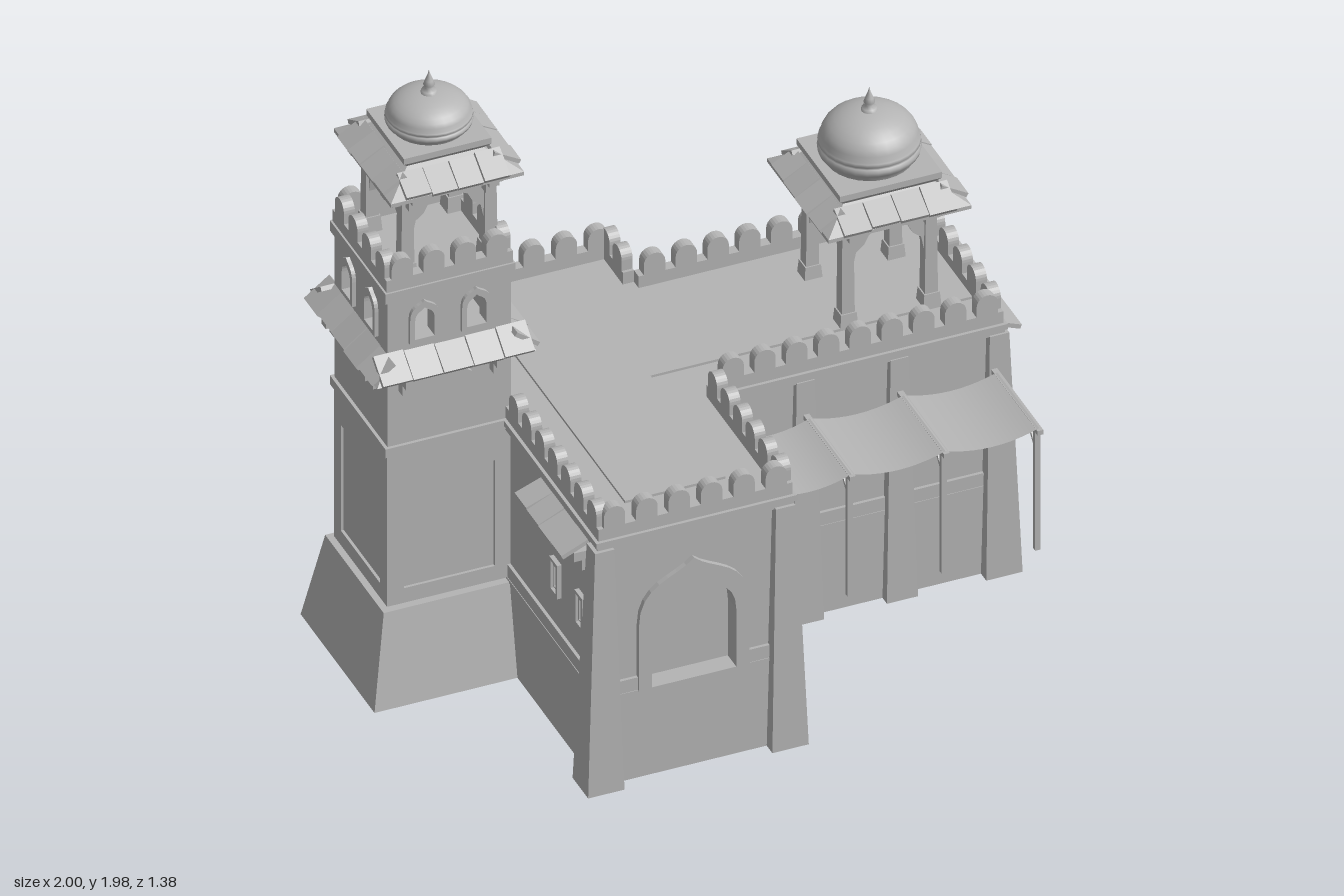
import * as THREE from 'three';

const stone = new THREE.MeshStandardMaterial({ color: 0xb4b4b4, side: THREE.DoubleSide });
stone.name = 'stone';

function add(parent, name, geo, x = 0, y = 0, z = 0) {
  const m = new THREE.Mesh(geo, stone);
  m.name = name;
  m.position.set(x, y, z);
  parent.add(m);
  return m;
}
function group(parent, name, x = 0, y = 0, z = 0, turn = 0) {
  const g = new THREE.Group();
  g.name = name;
  g.position.set(x, y, z);
  g.rotation.y = turn;
  parent.add(g);
  return g;
}
const box = (p, name, x0, x1, y0, y1, z0, z1) => add(p, name,
  new THREE.BoxGeometry(x1 - x0, y1 - y0, z1 - z0), (x0 + x1) / 2, (y0 + y1) / 2, (z0 + z1) / 2);

// Tapered block between two rectangles [x0, x1, z0, z1]; open leaves out the underside
function frustum(p, name, lo, y0, hi, y1, open = false) {
  const g = new THREE.BoxGeometry(1, 1, 1), a = g.attributes.position;
  for (let i = 0; i < a.count; i++) {
    const r = a.getY(i) < 0 ? lo : hi;
    a.setXYZ(i, a.getX(i) < 0 ? r[0] : r[1], a.getY(i) < 0 ? y0 : y1, a.getZ(i) < 0 ? r[2] : r[3]);
  }
  if (open) {
    const idx = [...g.index.array];
    idx.splice(18, 6);
    g.setIndex(idx);
    g.clearGroups();
  }
  g.computeVertexNormals();
  return add(p, name, g);
}
const square = (h, cx = 0, cz = 0) => [cx - h, cx + h, cz - h, cz + h];

// Outlines
function trace(path, pts) {
  pts.forEach(([x, y], i) => (i ? path.lineTo(x, y) : path.moveTo(x, y)));
  path.closePath();
  return path;
}
const rect = (path, x0, x1, y0, y1) => trace(path, [[x0, y0], [x1, y0], [x1, y1], [x0, y1]]);
function ogee(path, cx, w, y0, spring, top) {
  const d = top - spring;
  path.moveTo(cx - w, y0);
  path.lineTo(cx + w, y0);
  path.lineTo(cx + w, spring);
  path.bezierCurveTo(cx + w, spring + d * 0.75, cx + w * 0.35, spring + d * 0.7, cx, top);
  path.bezierCurveTo(cx - w * 0.35, spring + d * 0.7, cx - w, spring + d * 0.75, cx - w, spring);
  path.closePath();
  return path;
}
function panel(p, name, shape, holes, z, depth) {
  shape.holes.push(...holes);
  return add(p, name, new THREE.ExtrudeGeometry(shape, { depth, bevelEnabled: false, curveSegments: 8 }), 0, 0, z);
}
const windowHole = (cx, y) => ogee(new THREE.Path(), cx, 0.03, y, y + 0.06, y + 0.105);
const windowFrame = (p, cx, y, z) => panel(p, 'windowFrame',
  ogee(new THREE.Shape(), cx, 0.045, y - 0.014, y + 0.07, y + 0.128), [windowHole(cx, y)], z, 0.014);
const rectFrame = (p, name, x0, x1, y0, y1, t, z, d) => panel(p, name,
  rect(new THREE.Shape(), x0, x1, y0, y1), [rect(new THREE.Path(), x0 + t, x1 - t, y0 + t, y1 - t)], z, d);

// Footprint of hall and wing as x, z, with an outward offset
const corners = [[-0.55, 0.64], [0.02, 0.64], [0.02, 0.1], [0.9, 0.1], [0.9, -0.47], [0.02, -0.47], [0.02, -0.64], [-0.55, -0.64]];
const outline = d => corners.map(([x, z], i) => [x + (i > 0 && i < 7 ? d : -d), z + (i < 4 ? d : -d)]);
function slab(p, name, d, y0, y1) {
  const s = trace(new THREE.Shape(), outline(d).map(([x, z]) => [x, -z]));
  const g = new THREE.ExtrudeGeometry(s, { depth: y1 - y0, bevelEnabled: false });
  add(p, name, g.rotateX(-Math.PI / 2), 0, y0, 0);
}
// Calls back with a group at each wall's middle, its z axis facing outward
function eachWall(p, name, pts, fn) {
  pts.forEach(([x, z], i) => {
    const [u, v] = pts[(i + 1) % pts.length];
    fn(group(p, name, (x + u) / 2, 0, (z + v) / 2, Math.atan2(z - v, u - x)), Math.hypot(u - x, v - z), i);
  });
}

// Battlements with rounded merlons
const merlonShape = new THREE.Shape();
merlonShape.moveTo(-0.033, 0);
merlonShape.lineTo(0.033, 0);
merlonShape.lineTo(0.033, 0.075);
merlonShape.absarc(0, 0.075, 0.033, 0, Math.PI);
merlonShape.closePath();
const merlonGeo = new THREE.ExtrudeGeometry(merlonShape, { depth: 0.034, bevelEnabled: false, curveSegments: 6 });
function battlement(wall, len, y, skip = () => false) {
  const n = Math.round(len / 0.093);
  box(wall, 'parapetCurb', -len / 2, len / 2, y, y + 0.04, -0.034, 0);
  for (let i = 0; i < n; i++) {
    const x = len * ((i + 0.5) / n - 0.5);
    if (!skip(x)) add(wall, 'merlon', merlonGeo, x, y, -0.034);
  }
}

// Sloping stone tiles in a row, slightly uneven
let seed = 7;
const rand = () => (seed = (seed * 16807) % 2147483647) / 2147483647 - 0.5;
function tiles(p, len, n, y, depth, drop) {
  for (let i = 0; i < n; i++) {
    const d = Math.hypot(depth, drop) + rand() * 0.012;
    const t = add(p, 'eaveTile', new THREE.BoxGeometry(len / n - 0.003, 0.014, d),
      len * ((i + 0.5) / n - 0.5), y - drop / 2 + rand() * 0.006, depth / 2);
    t.rotation.x = Math.atan2(drop, depth) + rand() * 0.08;
  }
}
function bracket(p, x, y) {
  box(p, 'bracket', x - 0.016, x + 0.016, y - 0.03, y, 0, 0.055);
  box(p, 'bracket', x - 0.016, x + 0.016, y - 0.065, y - 0.03, 0, 0.03);
}

// Domed roof pavilion
function pavilion(root, name, x, z, y0, e, half, R, h) {
  const g = group(root, name, x, 0, z);
  for (const sx of [-1, 1]) for (const sz of [-1, 1]) {
    const px = sx * 0.128, pz = sz * 0.128;
    frustum(g, 'pillarBase', square(0.028, px, pz), y0, square(0.024, px, pz), y0 + 0.05);
    frustum(g, 'pillar', square(0.02, px, pz), y0 + 0.05, square(0.017, px, pz), e);
  }
  for (let k = 0; k < 4; k++) {
    const s = group(g, 'pavilionSide', 0, 0, 0, k * Math.PI / 2);
    const arch = trace(new THREE.Shape(), [[-0.125, e - 0.17], [-0.11, e - 0.17], [-0.1, e - 0.12], [-0.075, e - 0.1],
      [-0.06, e - 0.07], [-0.03, e - 0.055], [0, e - 0.035], [0.03, e - 0.055], [0.06, e - 0.07], [0.075, e - 0.1],
      [0.1, e - 0.12], [0.11, e - 0.17], [0.125, e - 0.17], [0.125, e + 0.02], [-0.125, e + 0.02]]);
    panel(s, 'cuspedArch', arch, [], 0.118, 0.02);
    for (const bx of [-0.118, 0.118]) {
      const b = group(s, 'eaveBracket', bx, 0, 0.14);
      bracket(b, 0, e + 0.005);
    }
    const t = group(s, 'eave', 0, 0, half - 0.07);
    tiles(t, half * 2 - 0.09, 4, e + 0.055, 0.075, 0.045);
  }
  box(g, 'eaveEdge', -half, half, e - 0.004, e + 0.008, -half, half);
  frustum(g, 'eaveRoof', square(half), e + 0.008, square(R - 0.015), e + 0.065);
  frustum(g, 'domePlinth', square(R - 0.01), e + 0.06, square(R + 0.008), e + 0.08);
  box(g, 'domePlinthTop', -R - 0.008, R + 0.008, e + 0.08, e + 0.1, -R - 0.008, R + 0.008);
  const pts = [[0.86, 0], [0.9, 0.1], [0.98, 0.16], [1, 0.24], [0.97, 0.3], [0.94, 0.32], [0.99, 0.36], [0.98, 0.42]];
  for (let i = 0; i <= 8; i++) {
    const a = i / 8 * Math.PI / 2;
    pts.push([0.95 * Math.cos(a), 0.44 + 0.56 * Math.sin(a)]);
  }
  add(g, 'dome', new THREE.LatheGeometry(pts.map(([r, y]) => new THREE.Vector2(Math.max(r * R, 0), y * h)), 28), 0, e + 0.1, 0);
  const fin = [[0.025, -0.004], [0.022, 0.008], [0.01, 0.014], [0.017, 0.026], [0.012, 0.04], [0.004, 0.06], [0, 0.076]];
  add(g, 'finial', new THREE.LatheGeometry(fin.map(([r, y]) => new THREE.Vector2(r, y)), 12), 0, e + 0.1 + h, 0);
}

export function createModel() {
  const root = new THREE.Group();
  root.name = 'fortPalace';

  // Hall with arched front niche
  const hall = group(root, 'hall');
  box(hall, 'hallBody', -0.55, 0.02, 0.3, 0.83, -0.64, 0.595);
  panel(hall, 'hallFront', rect(new THREE.Shape(), -0.55, 0.02, 0.3, 0.83),
    [ogee(new THREE.Path(), -0.27, 0.13, 0.303, 0.5, 0.645)], 0.595, 0.045);
  panel(hall, 'nicheFrame', ogee(new THREE.Shape(), -0.27, 0.17, 0.3, 0.52, 0.715),
    [ogee(new THREE.Path(), -0.27, 0.13, 0.303, 0.5, 0.645)], 0.64, 0.016);
  const hallBack = group(hall, 'hallBack', -0.265, 0, -0.64, Math.PI);
  windowFrame(hallBack, 0, 0.47, 0);
  const hallSide = group(hall, 'hallDoor', 0.02, 0, 0.28, Math.PI / 2);
  rectFrame(hallSide, 'doorFrame', -0.072, 0.072, 0.295, 0.59, 0.012, 0, 0.014);

  // Wing with windows right through it
  const wing = group(root, 'wing'), bays = [0.15, 0.45, 0.74];
  panel(wing, 'wingBody', rect(new THREE.Shape(), 0.02, 0.9, 0.3, 0.83), bays.map(x => windowHole(x, 0.47)), -0.47, 0.57);
  bays.forEach(x => { windowFrame(wing, x, 0.47, 0.1); windowFrame(wing, x, 0.47, -0.484); });

  // Side walls: small windows under a bracketed eave
  const smallWindow = (p, x) => {
    rectFrame(p, 'smallWindowFrame', x - 0.028, x + 0.028, 0.46, 0.575, 0.01, 0, 0.014);
    rectFrame(p, 'smallWindowInnerFrame', x - 0.014, x + 0.014, 0.478, 0.555, 0.004, 0, 0.008);
  };
  const end = group(root, 'wingEnd', 0.9, 0, -0.185, Math.PI / 2);
  [-0.145, 0.115].forEach(x => smallWindow(end, x));
  [-0.225, -0.095, 0.04, 0.215].forEach(x => bracket(end, x, 0.77));
  tiles(end, 0.49, 5, 0.815, 0.095, 0.04);
  const left = group(root, 'hallLeftSide', -0.55, 0, 0.42, -Math.PI / 2);
  [-0.09, 0.09].forEach(x => smallWindow(left, x));
  [-0.14, 0, 0.14].forEach(x => bracket(left, x, 0.77));
  tiles(left, 0.34, 4, 0.815, 0.095, 0.04);

  // Plinth, mouldings, cornice and roof
  const base = group(root, 'plinth');
  eachWall(base, 'plinthSide', outline(0.01), (w, len) => add(w, 'plinthWall', new THREE.PlaneGeometry(len, 0.3), 0, 0.15, 0));
  slab(base, 'plinthLedge', 0.012, 0.292, 0.302);
  eachWall(base, 'mouldingSide', outline(0), (w, len, i) => {
    const spans = i === 0 ? [[-len / 2, -0.175], [0.165, len / 2]] : [[-len / 2, len / 2]];
    spans.forEach(([a, b]) => box(w, 'moulding', a, b, 0.3, 0.345, 0, 0.01));
  });
  slab(root, 'corniceLower', 0.018, 0.815, 0.832);
  slab(root, 'corniceUpper', 0.024, 0.832, 0.85);
  box(root, 'roofPanel', -0.42, -0.11, 0.85, 0.858, -0.53, 0.51);
  box(root, 'roofPanelWing', -0.11, 0.88, 0.85, 0.858, -0.35, -0.03);
  const parapet = group(root, 'parapet');
  eachWall(parapet, 'parapetSide', outline(0.014), (w, len, i) =>
    battlement(w, len, 0.85, x => i === 7 && x > -0.4 && x < 0.02));

  // Tapered buttresses
  const buttress = (x, z, dx, dz) => frustum(root, 'buttress', square(0.056, x, z), 0,
    square(0.03, x + dx * 0.005, z + dz * 0.003), 0.82, true);
  for (const s of [-1, 1]) {
    buttress(-0.555, s * 0.635, 1, s);
    buttress(0.012, s * 0.635, -1, s);
    const z = -0.188 + s * 0.28;
    buttress(0.903, z, -1, s);
    [0.303, 0.592].forEach(x => frustum(root, 'buttress', [x - 0.048, x + 0.048, z - 0.05, z + 0.05], 0,
      [x - 0.028, x + 0.028, z - 0.03, z + 0.03], 0.82, true));
  }

  // Tower
  const tower = group(root, 'tower', -0.738, 0, -0.2);
  frustum(tower, 'towerPlinth', [-0.262, 0.2, -0.265, 0.265], 0, [-0.21, 0.2, -0.21, 0.21], 0.295, true);
  box(tower, 'towerBody', -0.183, 0.19, 0.295, 1.1, -0.183, 0.183);
  box(tower, 'towerCornice', -0.2, 0.2, 0.82, 0.85, -0.2, 0.2);
  box(tower, 'belfryFloor', -0.19, 0.19, 1.08, 1.12, -0.19, 0.19);
  frustum(tower, 'skirtEave', square(0.245), 1.1, square(0.19), 1.155);
  for (let k = 0; k < 4; k++) {
    const s = group(tower, 'towerSide', 0, 0, 0, k * Math.PI / 2);
    if (k !== 1) panel(s, 'towerPanelFrame', rect(new THREE.Shape(), -0.19, 0.19, 0.3, 0.82),
      [rect(new THREE.Path(), -0.14, 0.14, 0.35, 0.715)], 0.18, 0.012);
    box(s, 'towerUpperFace', -0.19, 0.19, 0.85, 1.1, 0.17, 0.19);
    panel(s, 'belfryWall', rect(new THREE.Shape(), -0.19, 0.19, 1.1, 1.36),
      [-0.08, 0.08].map(x => windowHole(x, 1.205)), 0.15, 0.04);
    [-0.08, 0.08].forEach(x => windowFrame(s, x, 1.205, 0.188));
    tiles(group(s, 'skirtTiles', 0, 0, 0.185), 0.47, 5, 1.165, 0.075, 0.055);
    const b = group(s, 'skirtBrackets', 0, 0, 0.19);
    [-0.14, 0.14].forEach(x => bracket(b, x, 1.1));
    panel(s, 'skirtGablet', trace(new THREE.Shape(), [[-0.06, 1.06], [0.06, 1.06], [0, 1.1]]), [], 0.185, 0.03);
    battlement(group(s, 'towerParapet', 0, 0, 0.194), 0.388, 1.385);
  }
  box(tower, 'belfryCornice', -0.2, 0.2, 1.35, 1.385, -0.2, 0.2);

  pavilion(root, 'towerPavilion', -0.72, -0.197, 1.385, 1.69, 0.205, 0.127, 0.11);
  pavilion(root, 'wingPavilion', 0.63, -0.185, 0.85, 1.215, 0.22, 0.149, 0.16);

  // Sagging awning on poles
  const awning = group(root, 'awning'), posts = [0.045, 0.303, 0.592, 0.88];
  for (let i = 0; i < 3; i++) {
    const w = posts[i + 1] - posts[i], g = new THREE.PlaneGeometry(w, 0.3, 10, 1).rotateX(-Math.PI / 2);
    const a = g.attributes.position;
    for (let k = 0; k < a.count; k++) a.setY(k, -0.025 * (1 - (2 * a.getX(k) / w) ** 2));
    g.computeVertexNormals();
    add(awning, 'awningCloth', g, posts[i] + w / 2, 0.712, 0.3);
  }
  posts.forEach((x, i) => {
    box(awning, 'awningBeam', x - 0.009, x + 0.009, 0.695, 0.71, 0.1, 0.46);
    if (!i) return;
    box(awning, 'awningPole', x - 0.008, x + 0.008, 0.285, 0.7, 0.425, 0.441);
    const strut = add(awning, 'awningStrut', new THREE.BoxGeometry(0.01, 0.1, 0.01), x, 0.667, 0.4);
    strut.rotation.x = -0.75;
  });
  return root;
}
